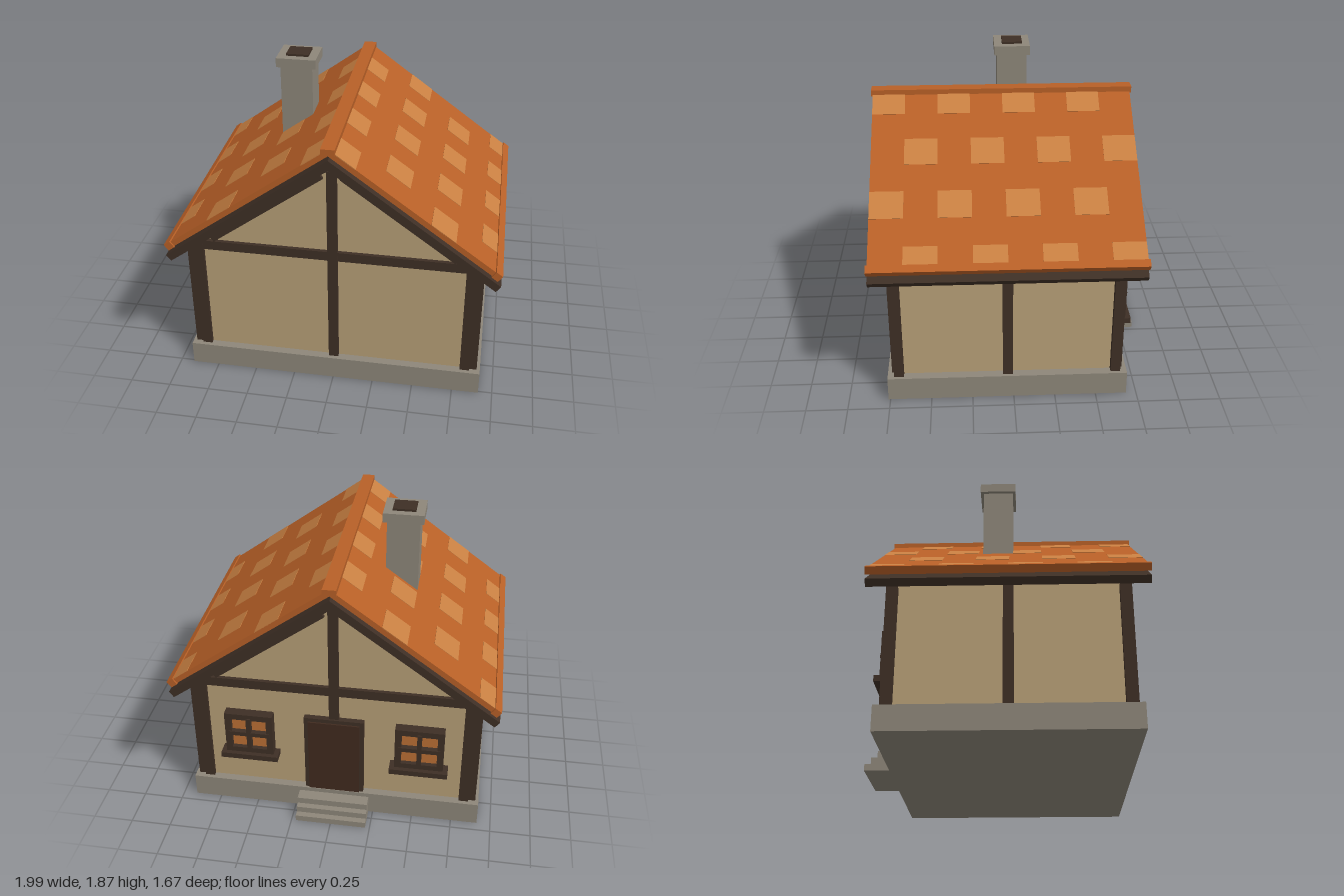
import * as THREE from 'three';

const mat = (name, color) => {
  const m = new THREE.MeshStandardMaterial({ color });
  m.name = name;
  return m;
};

export function createModel() {
  const house = new THREE.Group();
  house.name = 'cottage';

  const plaster = mat('plaster', 0xb8a078);
  const timber = mat('dark timber', 0x3e2f25);
  const doorWood = mat('door wood', 0x402a1f);
  const stone = mat('stone', 0x8e877a);
  const tile = mat('roof tile', 0xb86027);
  const lightTile = mat('light roof tile', 0xc98042);
  const glass = mat('amber glass', 0xbc7034);

  const ZC = 0.037;                    // middle of the house body in z
  const SLOPE = 0.733;                 // roof rise over run
  const ANGLE = Math.atan(SLOPE);

  // Box given by its minimum and maximum on each axis
  const box = (name, m, x0, x1, y0, y1, z0, z1, parent = house) => {
    const mesh = new THREE.Mesh(new THREE.BoxGeometry(x1 - x0, y1 - y0, z1 - z0), m);
    mesh.position.set((x0 + x1) / 2, (y0 + y1) / 2, (z0 + z1) / 2);
    mesh.name = name;
    parent.add(mesh);
    return mesh;
  };

  // Box tilted to the roof slope; side is +1 or -1 in x
  const tilted = (name, m, side, x, y, z, length, thick, depth, parent = house) => {
    const mesh = new THREE.Mesh(new THREE.BoxGeometry(length, thick, depth), m);
    mesh.position.set(side * x, y, z);
    mesh.rotation.z = -side * ANGLE;
    mesh.name = name;
    parent.add(mesh);
    return mesh;
  };

  // Profile symmetric in x, given by its right half from top to bottom, extruded in z
  const symmetric = (name, m, half, z0, z1) => {
    const left = half.filter(p => p[0] > 0).map(p => [-p[0], p[1]]).reverse();
    const shape = new THREE.Shape([...half, ...left].map(p => new THREE.Vector2(p[0], p[1])));
    const geo = new THREE.ExtrudeGeometry(shape, { depth: z1 - z0, bevelEnabled: false });
    geo.translate(0, 0, z0);
    const mesh = new THREE.Mesh(geo, m);
    mesh.name = name;
    house.add(mesh);
  };

  // Foundation and back steps
  box('foundation', stone, -0.915, 0.915, 0, 0.15, -0.688, 0.762);
  for (let i = 0; i < 3; i++) {
    box('step', stone, -0.222, 0.222, i * 0.04, (i + 1) * 0.04 + (i === 2 ? 0.002 : 0), -0.838 + i * 0.038, -0.68);
  }

  // Plastered walls with gables
  symmetric('walls', plaster, [[0, 1.55], [0.86, 0.92], [0.86, 0.14]], -0.638, 0.712);

  // Timber frame on both gable ends
  for (const end of [1, -1]) {
    const frame = new THREE.Group();
    frame.name = end > 0 ? 'frontFrame' : 'backFrame';
    frame.position.z = ZC;
    house.add(frame);
    const face = (z0, z1) => (end > 0 ? [z0, z1] : [-z1, -z0]);
    box('gableBeam', timber, -0.85, 0.85, 0.873, 0.933, ...face(0.65, 0.698), frame);
    box('kingPost', timber, -0.03, 0.03, 0.15, 1.474, ...face(0.65, 0.7), frame);
    for (const s of [1, -1]) {
      box('endPost', timber, s * 0.82 - 0.03, s * 0.82 + 0.03, 0.15, 0.93, ...face(0.64, 0.7), frame);
      box('sidePost', timber, s * 0.865 - 0.03, s * 0.865 + 0.03, 0.15, 0.87, ...face(0.626, 0.685), frame);
      tilted('gableBrace', timber, s, 0.398, 1.194, end * 0.673, 0.833, 0.042, 0.046, frame);
    }
  }
  for (const s of [1, -1]) {
    box('middleSidePost', timber, s * 0.865 - 0.03, s * 0.865 + 0.03, 0.15, 0.89, 0.005, 0.065);
  }

  // Roof: timber deck below, tiles above with an air gap
  symmetric('roofDeck', timber,
    [[0, 1.597], [0.99, 0.871], [0.962, 0.834], [0, 1.535]], -0.762, 0.832);
  symmetric('roofTiles', tile,
    [[0, 1.665], [0.972, 0.953], [0.953, 0.925], [0, 1.623]], -0.757, 0.827);
  box('ridgeCap', tile, -0.04, 0.04, 1.628, 1.668, -0.767, 0.837);

  // Eave trims and checkered light tiles
  const cell = 1.584 / 8;
  for (const s of [1, -1]) {
    tilted('eaveTrim', tile, s, 0.963, 0.941, 0.035, 0.046, 0.046, 1.604);
    for (let row = 0; row < 4; row++) {
      const x0 = 0.01 + row * 0.284;
      const x1 = Math.min(x0 + 0.142, 0.962);
      const x = (x0 + x1) / 2;
      for (let i = 0; i < 4; i++) {
        const z = 0.827 - cell * (2 * i + (row % 2) + 0.5);
        tilted('lightTile', lightTile, s, x, 1.665 - SLOPE * x, z,
          (x1 - x0) / Math.cos(ANGLE), 0.005, cell);
      }
    }
  }

  // Chimney
  box('chimneyShaft', stone, -0.437, -0.239, 1.25, 1.8, -0.134, 0.054);
  box('chimneyCap', stone, -0.46, -0.215, 1.797, 1.855, -0.154, 0.072);
  box('flue', timber, -0.407, -0.268, 1.84, 1.868, -0.106, 0.022);

  // Back door
  box('doorFrame', timber, -0.185, 0.185, 0.15, 0.7, -0.674, -0.63);
  box('door', doorWood, -0.16, 0.16, 0.15, 0.675, -0.684, -0.63);

  // Back windows
  for (const s of [1, -1]) {
    const win = new THREE.Group();
    win.name = 'window';
    win.position.set(s * 0.53, 0, 0);
    house.add(win);
    box('pane', glass, -0.13, 0.13, 0.42, 0.67, -0.672, -0.63, win);
    for (const t of [1, -1]) {
      box('jamb', timber, t * 0.13 - 0.02, t * 0.13 + 0.02, 0.405, 0.695, -0.7, -0.63, win);
    }
    box('head', timber, -0.15, 0.15, 0.655, 0.695, -0.7, -0.63, win);
    box('bottomRail', timber, -0.15, 0.15, 0.4, 0.44, -0.7, -0.63, win);
    box('mullion', timber, -0.014, 0.014, 0.42, 0.67, -0.708, -0.63, win);
    box('crossBar', timber, -0.13, 0.13, 0.536, 0.564, -0.706, -0.63, win);
    box('sill', timber, -0.18, 0.18, 0.37, 0.406, -0.728, -0.63, win);
  }

  return house;
}
